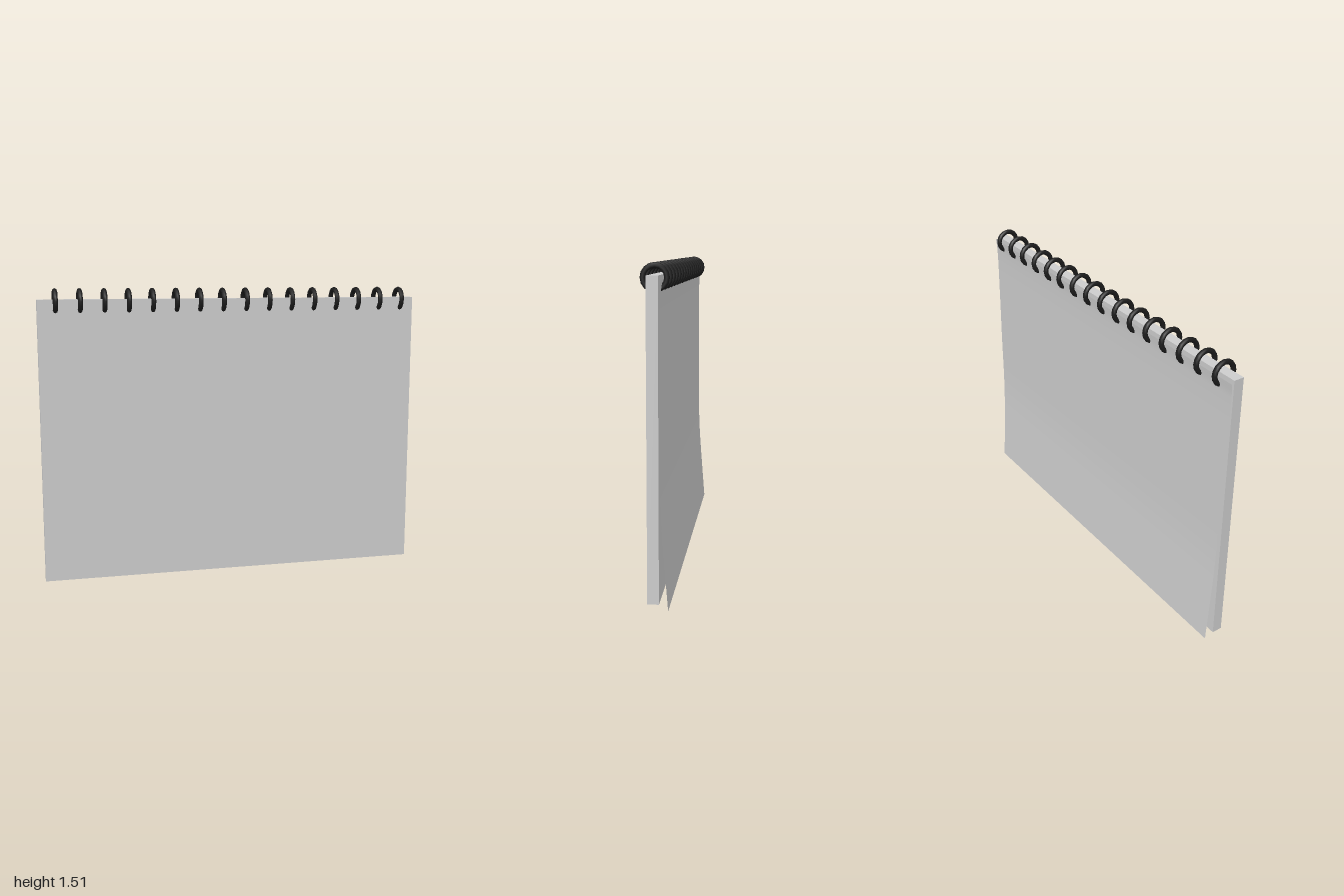
import * as THREE from 'three';

export function createModel() {
  const group = new THREE.Group();
  const paper = new THREE.MeshStandardMaterial({ color: 0xcccccc, side: THREE.DoubleSide });
  paper.name = 'paper grey';
  const wire = new THREE.MeshStandardMaterial({ color: 0x1c1c1c });
  wire.name = 'binding black';

  // Block of pages
  const pages = new THREE.Mesh(new THREE.BoxGeometry(1.98, 1.435, 0.052), paper);
  pages.name = 'pageBlock';
  pages.position.set(-0.01, 0.025 + 1.435 / 2, 0.004);
  group.add(pages);

  // Loose back sheet: cross-section points of (right edge x, y, z), curling away at the bottom
  const curve = new THREE.CatmullRomCurve3([
    [0.982, 1.445, -0.034], [0.986, 1.38, -0.027], [0.993, 1.1, -0.025], [0.998, 0.8, -0.027],
    [0.998, 0.55, -0.029], [0.996, 0.4, -0.035], [0.993, 0.2, -0.049], [0.99, 0, -0.064],
  ].map(p => new THREE.Vector3(...p)));
  const rows = 28;
  const sheetGeometry = new THREE.PlaneGeometry(1, 1, 1, rows);
  const position = sheetGeometry.attributes.position;
  for (let i = 0; i <= rows; i++) {
    const p = curve.getPoint(i / rows);
    // Corners run right to left so the sheet's front faces backwards
    position.setXYZ(i * 2, p.x, p.y, p.z);
    position.setXYZ(i * 2 + 1, p.x - 1.982, p.y, p.z);
  }
  sheetGeometry.computeVertexNormals();
  const sheet = new THREE.Mesh(sheetGeometry, paper);
  sheet.name = 'looseBackSheet';
  group.add(sheet);

  // Row of binding rings along the top edge
  const rings = new THREE.Group();
  rings.name = 'bindingRings';
  const ringGeometry = new THREE.TorusGeometry(0.0525, 0.0125, 8, 16);
  ringGeometry.rotateY(Math.PI / 2);
  const count = 16;
  for (let i = 0; i < count; i++) {
    const ring = new THREE.Mesh(ringGeometry, wire);
    ring.name = 'bindingRing';
    ring.position.set(-0.91 + (1.82 * i) / (count - 1), 1.45, 0);
    rings.add(ring);
  }
  group.add(rings);
  return group;
}
